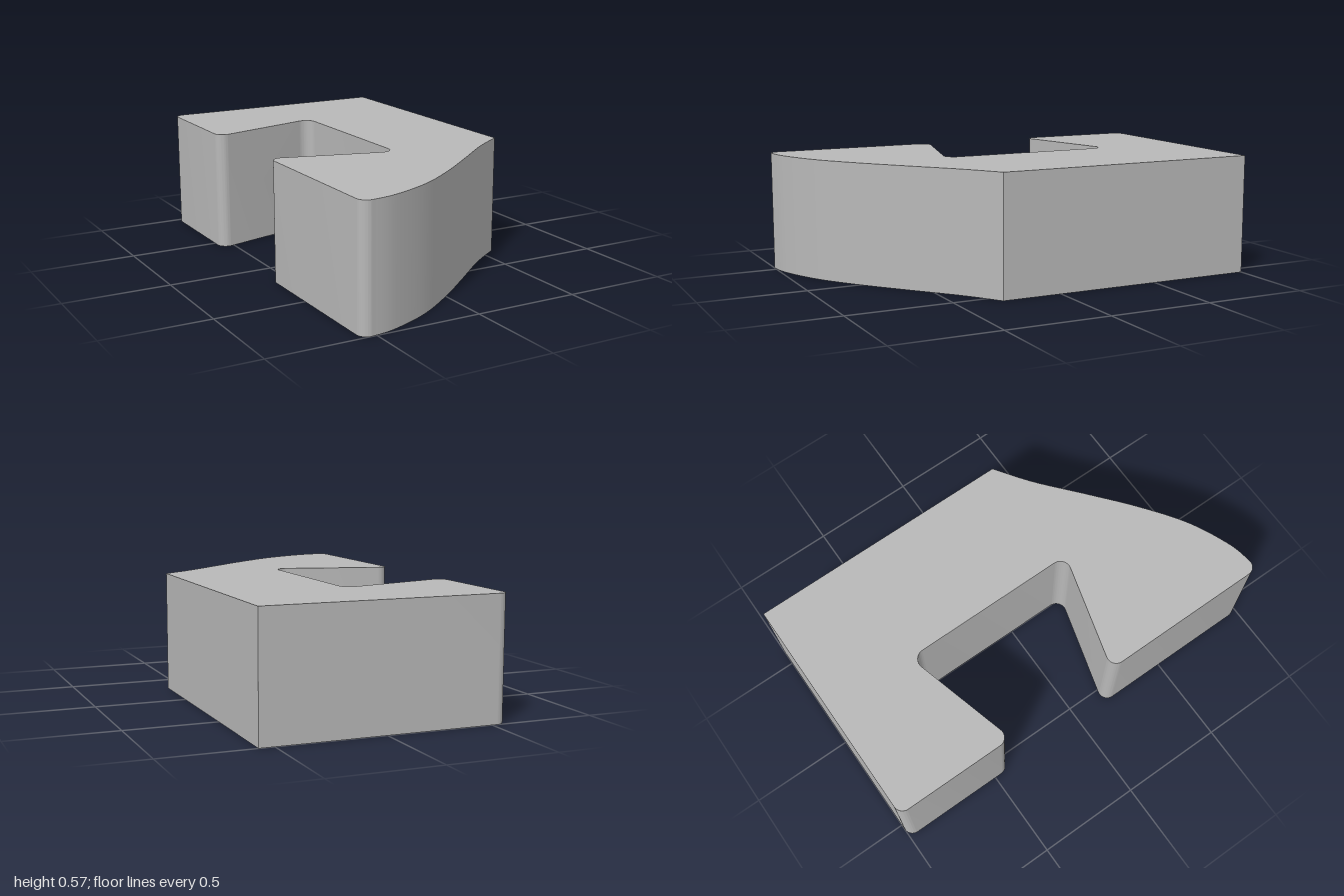
import * as THREE from 'three';
import { toCreasedNormals } from 'three/addons/utils/BufferGeometryUtils.js';

const HEIGHT = 0.57;
const rad = THREE.MathUtils.degToRad;

// Plan outline, drawn with shape y = -z
function hookOutline() {
  const s = new THREE.Shape();
  const arc = (x, y, r, from, to, clockwise = false) =>
    s.absarc(x, y, r, rad(from), rad(to), clockwise);

  // straight back and end faces
  s.moveTo(0.57, -0.29);
  s.lineTo(0.57, 1);
  // rear jaw with rounded tip
  arc(-0.525, 0.955, 0.045, 90, 180);
  arc(-0.525, 0.465, 0.045, 180, 285.5);
  // undercut notch with rounded inner corners
  arc(-0.05, 0.498, 0.05, 105.5, 0, true);
  arc(-0.05, -0.244, 0.05, 0, -105.5, true);
  // front jaw with rounded tip
  arc(-0.525, -0.211, 0.045, 74.5, 180);
  arc(-0.525, -0.955, 0.045, 180, 270);
  // swept front face
  s.splineThru([
    [-0.4, -0.975], [-0.2, -0.885], [0, -0.745],
    [0.2, -0.58], [0.4, -0.41], [0.57, -0.29],
  ].map(([x, y]) => new THREE.Vector2(x, y)));
  return s;
}

export function createModel() {
  const group = new THREE.Group();
  group.name = 'hookBlock';

  const grey = new THREE.MeshStandardMaterial({ color: 0xb8b8b8 });
  grey.name = 'plain grey';

  // Extruded upright block, smooth on curves and sharp on edges
  const geometry = new THREE.ExtrudeGeometry(hookOutline(), {
    depth: HEIGHT, bevelEnabled: false, curveSegments: 10,
  });
  geometry.rotateX(-Math.PI / 2);

  const body = new THREE.Mesh(toCreasedNormals(geometry, 0.45), grey);
  body.name = 'hookBody';
  group.add(body);
  return group;
}
